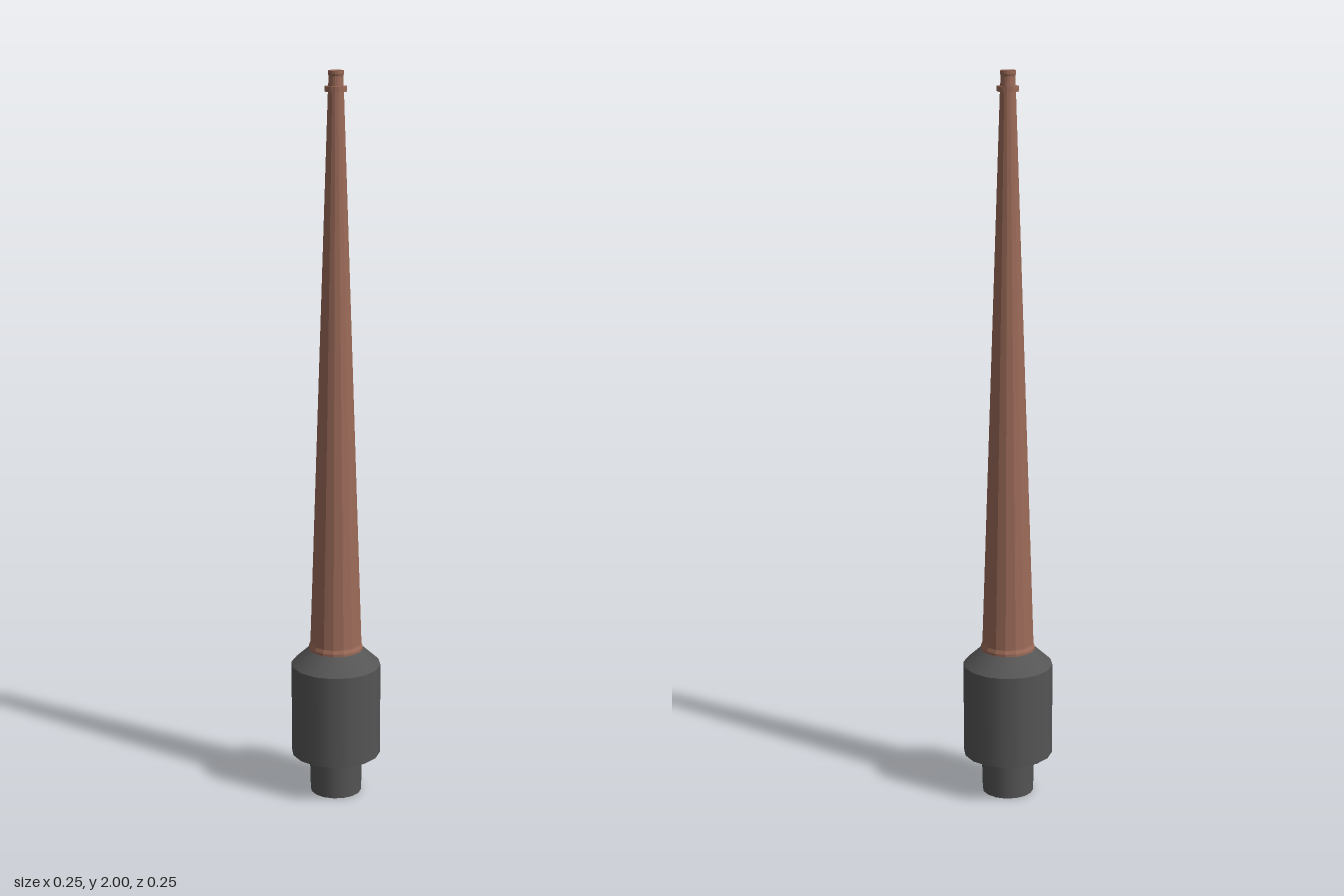
import * as THREE from 'three';

const SIDES = 16;

export function createModel() {
  const model = new THREE.Group();
  model.name = 'taperedRod';

  const darkGrey = new THREE.MeshStandardMaterial({ color: 0x555555 });
  darkGrey.name = 'dark grey';
  const copper = new THREE.MeshStandardMaterial({ color: 0x9c6b59 });
  copper.name = 'copper brown';
  copper.flatShading = true;

  // Round section between two heights, smooth sides and sharp rims
  function section(name, y0, y1, r0, r1, material, open = false) {
    const geometry = new THREE.CylinderGeometry(r1, r0, y1 - y0, SIDES, 1, open);
    geometry.translate(0, (y0 + y1) / 2, 0);
    const mesh = new THREE.Mesh(geometry, material);
    mesh.name = name;
    model.add(mesh);
  }

  // Grey mounting base
  section('baseStub', 0, 0.115, 0.071, 0.074, darkGrey);
  section('baseBody', 0.115, 0.375, 0.124, 0.124, darkGrey);
  section('baseShoulder', 0.375, 0.42, 0.124, 0.075, darkGrey);

  // Long faceted whip with a flared foot and a shallow cup at the tip
  const profile = [
    [0.075, 0.42], [0.075, 0.427], [0.071, 0.437], [0.021, 1.945],
    [0.019, 1.985], [0.021, 1.992], [0.021, 2], [0.019, 2],
    [0.013, 1.99], [0, 1.99],
  ].map(([r, y]) => new THREE.Vector2(r, y));
  const whip = new THREE.Mesh(new THREE.LatheGeometry(profile, SIDES), copper);
  whip.name = 'whip';
  model.add(whip);

  // Thin collar below the tip
  section('tipCollar', 1.946, 1.96, 0.029, 0.029, copper);

  return model;
}
